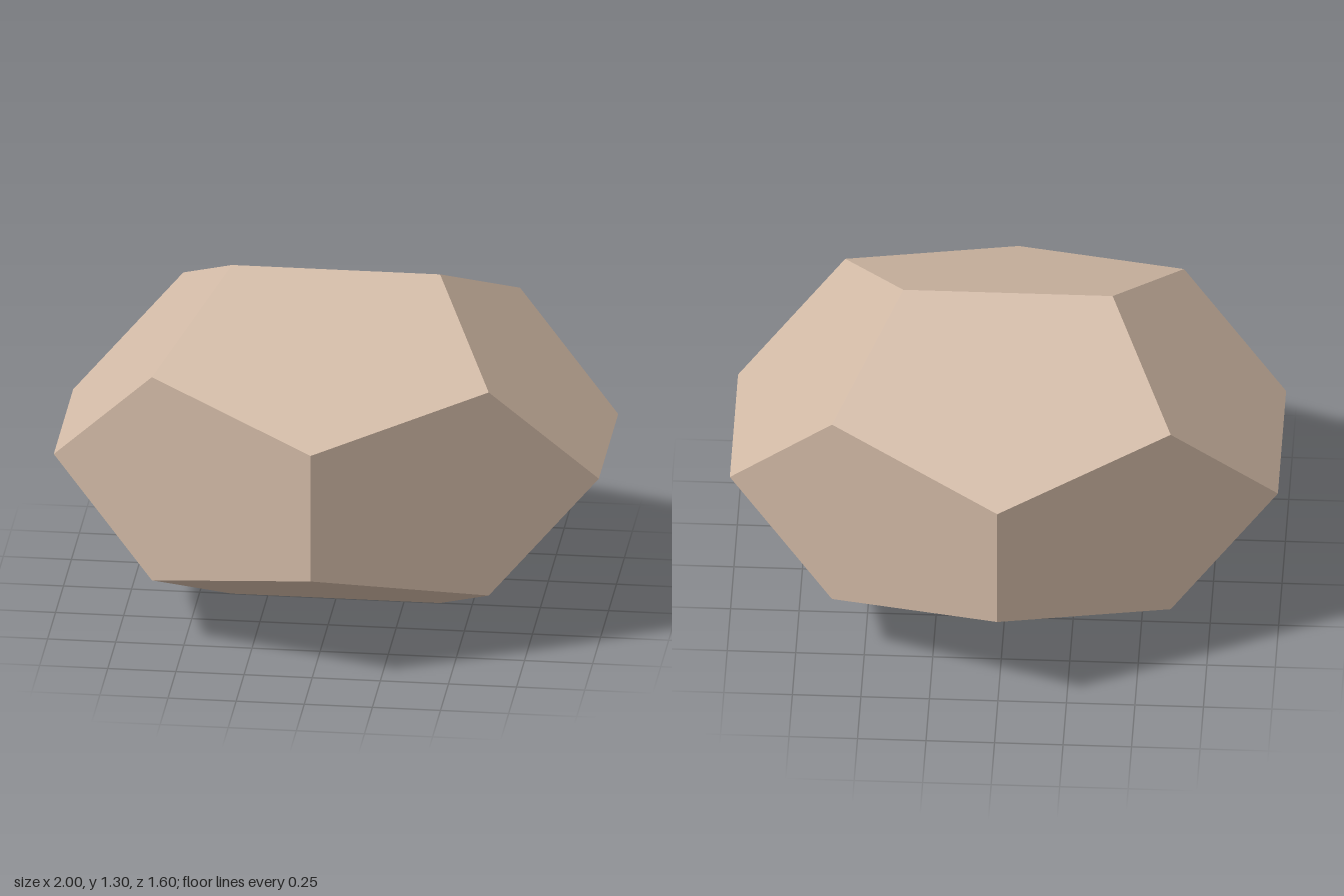
import * as THREE from 'three';

export function createModel() {
  const group = new THREE.Group();
  group.name = 'facetedStone';

  const stone = new THREE.MeshStandardMaterial({ color: 0xd2baa6 });
  stone.name = 'warm beige stone';

  // Unit dodecahedron stretched to the stone's half extents
  const half = new THREE.Vector3(1, 0.65, 0.8);
  const reach = (1 + Math.sqrt(5)) / 2 / Math.sqrt(3); // axis extent at radius 1
  const geometry = new THREE.DodecahedronGeometry(1 / reach, 0);
  geometry.scale(half.x, half.y, half.z);
  geometry.translate(0, half.y, 0);
  geometry.computeVertexNormals(); // non-indexed, so facets stay flat

  const rock = new THREE.Mesh(geometry, stone);
  rock.name = 'rock';
  group.add(rock);
  return group;
}
